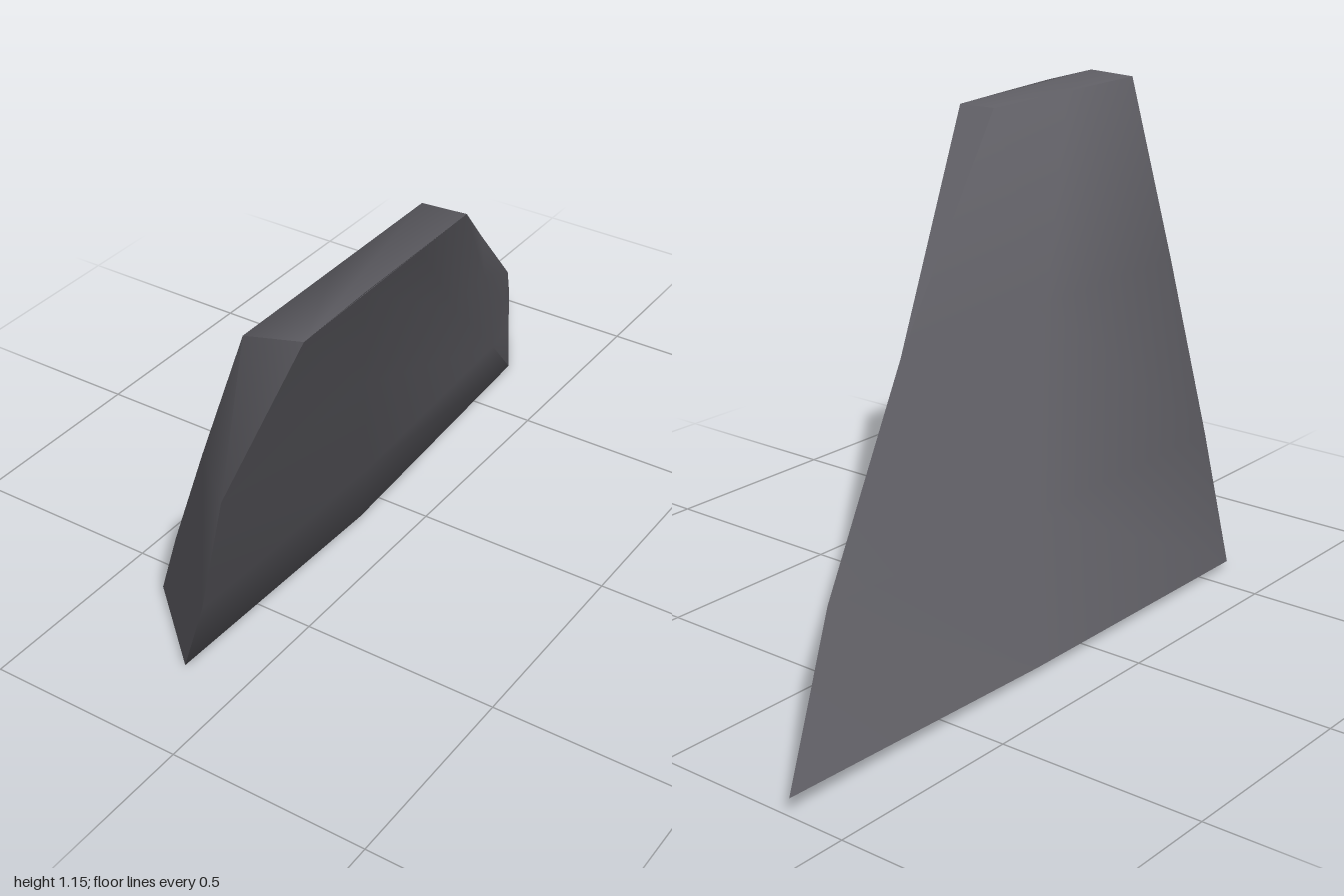
import * as THREE from 'three';
import { toCreasedNormals } from 'three/addons/utils/BufferGeometryUtils.js';

// Each ring runs: rear edge, rear bevel, outer shoulder, outer middle, outer front, inner front, inner middle
const rings = [
  [[-0.36, 0.04, -1], [-0.27, 0.02, -0.85], [-0.18, 0, -0.7], [-0.13, 0.01, 0.1], [-0.15, 0.01, 0.77], [-0.36, 0.02, 0.59], [-0.36, 0.02, -0.2]],
  [[-0.19, 0.3, -0.7], [-0.12, 0.3, -0.56], [-0.03, 0.3, -0.36], [0, 0.3, 0.25], [-0.01, 0.3, 0.86], [-0.21, 0.3, 0.7], [-0.21, 0.3, 0]],
  [[0.005, 0.69, -0.24], [0.08, 0.66, -0.13], [0.14, 0.71, 0.1], [0.17, 0.74, 0.5], [0.18, 0.75, 1], [0.005, 0.7, 0.84], [0.005, 0.7, 0.3]],
  [[0.24, 1.14, 0.385], [0.34, 1.14, 0.375], [0.345, 1.145, 0.55], [0.35, 1.15, 0.75], [0.355, 1.15, 0.95], [0.24, 1.14, 0.98], [0.24, 1.14, 0.69]],
];

// Skin the rings and close both ends
function loft(sections) {
  const n = sections[0].length;
  const index = [];
  for (let r = 0; r < sections.length - 1; r++) {
    for (let i = 0; i < n; i++) {
      const a = r * n + i;
      const b = r * n + (i + 1) % n;
      index.push(a, a + n, b + n, a, b + n, b);
    }
  }
  const top = (sections.length - 1) * n;
  const hub = 4; // fan from the outer front corner
  for (let k = 1; k < n - 1; k++) {
    const p = (hub + k) % n;
    const q = (hub + k + 1) % n;
    index.push(hub, p, q, top + hub, top + q, top + p);
  }
  const geometry = new THREE.BufferGeometry();
  geometry.setAttribute('position', new THREE.Float32BufferAttribute(sections.flat(2), 3));
  geometry.setIndex(index);
  return toCreasedNormals(geometry, 1.1);
}

export function createModel() {
  const group = new THREE.Group();
  group.name = 'leaningFin';
  const darkGrey = new THREE.MeshStandardMaterial({ color: 0x5e5d63 });
  darkGrey.name = 'dark grey';

  // Swept, tapering fin blade
  const blade = new THREE.Mesh(loft(rings), darkGrey);
  blade.name = 'finBlade';
  group.add(blade);
  return group;
}
